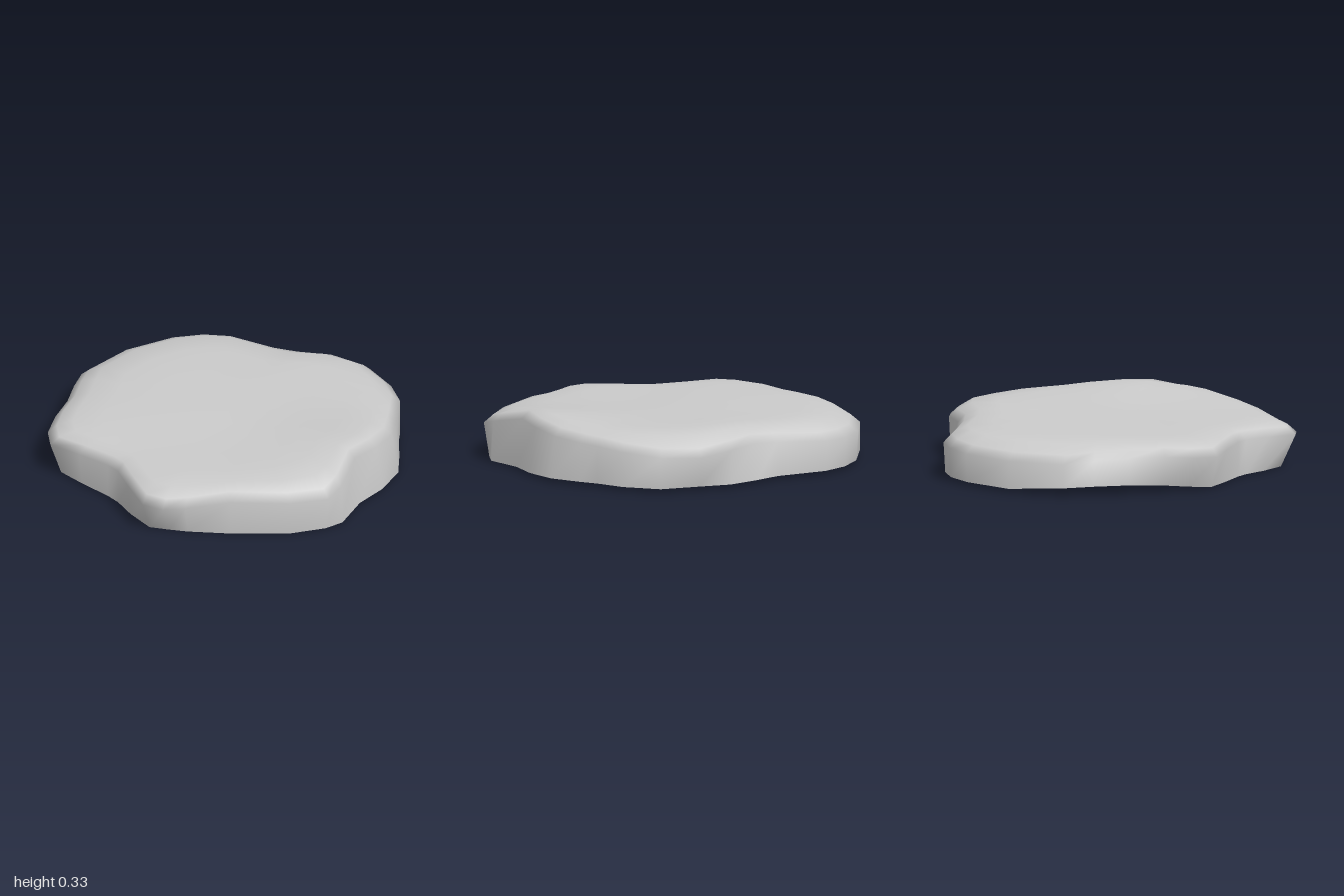
import * as THREE from 'three';

// Outline of the slab: x, z, height of the top edge, flare of the foot
const OUTLINE = [
  [-0.34, -1.0, 0.23, 0.99], [-0.51, -0.94, 0.225, 0.99], [-0.75, -0.75, 0.22, 1.0], [-0.92, -0.47, 0.22, 1.01],
  [-0.93, -0.3, 0.235, 1.01], [-0.93, -0.1, 0.245, 1.01], [-0.96, 0.1, 0.25, 0.96], [-0.97, 0.27, 0.24, 0.92],
  [-0.93, 0.4, 0.235, 0.94], [-0.75, 0.49, 0.24, 0.98], [-0.57, 0.59, 0.245, 1.0], [-0.5, 0.65, 0.245, 1.0],
  [-0.42, 0.79, 0.24, 0.97], [-0.3, 0.97, 0.225, 0.92], [-0.18, 1.0, 0.22, 0.9], [-0.06, 0.97, 0.225, 0.93],
  [0.18, 0.9, 0.25, 0.98], [0.51, 0.84, 0.245, 0.98], [0.71, 0.75, 0.245, 0.97], [0.76, 0.64, 0.275, 1.01],
  [0.79, 0.4, 0.325, 1.04], [0.88, 0.23, 0.315, 1.04], [0.93, 0.04, 0.295, 1.04], [0.92, -0.14, 0.28, 1.02],
  [0.91, -0.25, 0.275, 1.0], [0.89, -0.42, 0.26, 1.0], [0.8, -0.62, 0.24, 1.0], [0.65, -0.79, 0.24, 0.93],
  [0.45, -0.84, 0.26, 0.99], [0.25, -0.83, 0.265, 1.04], [0.1, -0.87, 0.255, 1.01], [-0.18, -1.0, 0.235, 0.99],
];

const hill = (x, z, cx, cz, r) => Math.exp(-((x - cx) ** 2 + (z - cz) ** 2) / (r * r));

// Height of the worn top: rising to the left, stepping down towards the front
const topHeight = (x, z) =>
  0.28 + 0.02 * x + 0.045 * hill(x, z, 0.73, 0.28, 0.4) + 0.015 * hill(x, z, 0.4, -0.7, 0.25)
  - 0.012 * Math.tanh(4 * (z + 0.43 * x - 0.13));

// Height of the foot: lowest at the front, lifted along the right flank
const footHeight = (x, z) => 0.02 - 0.022 * Math.max(0, z) + 0.5 * Math.max(0, -x - 0.88);

// Rings running from the open foot, over the shoulder, to the middle of the top
const RINGS = [
  ([x, z, , foot]) => [x * foot, footHeight(x * foot, z * foot), z * foot],
  ([x, z, top]) => [x, top - 0.045, z],
  ([x, z, top]) => [x * 0.95, top, z * 0.95],
  ([x, z, top]) => [x * 0.86, 0.3 * (top + 0.015) + 0.7 * topHeight(x * 0.86, z * 0.86), z * 0.86],
  ...[0.7, 0.5, 0.32, 0.15].map((s) => ([x, z]) => [x * s, topHeight(x * s, z * s), z * s]),
];

// Joins the rings into a smooth shell, closed at the top and open underneath
function shellGeometry() {
  const n = OUTLINE.length;
  const positions = RINGS.flatMap((ring) => OUTLINE.flatMap(ring));
  positions.push(0, topHeight(0, 0), 0);
  const index = [];
  for (let r = 0; r < RINGS.length; r++) {
    for (let i = 0; i < n; i++) {
      const j = (i + 1) % n;
      const a = r * n + i, b = r * n + j;
      if (r === RINGS.length - 1) index.push(a, b, RINGS.length * n);
      else index.push(a, b, b + n, a, b + n, a + n);
    }
  }
  const geometry = new THREE.BufferGeometry();
  geometry.setAttribute('position', new THREE.Float32BufferAttribute(positions, 3));
  geometry.setIndex(index);
  geometry.computeVertexNormals();
  return geometry;
}

export function createModel() {
  const group = new THREE.Group();
  group.name = 'flatStone';
  const material = new THREE.MeshStandardMaterial({ color: 0xcccccc, side: THREE.DoubleSide });
  const slab = new THREE.Mesh(shellGeometry(), material);
  slab.name = 'stoneSlab';
  group.add(slab);
  return group;
}
